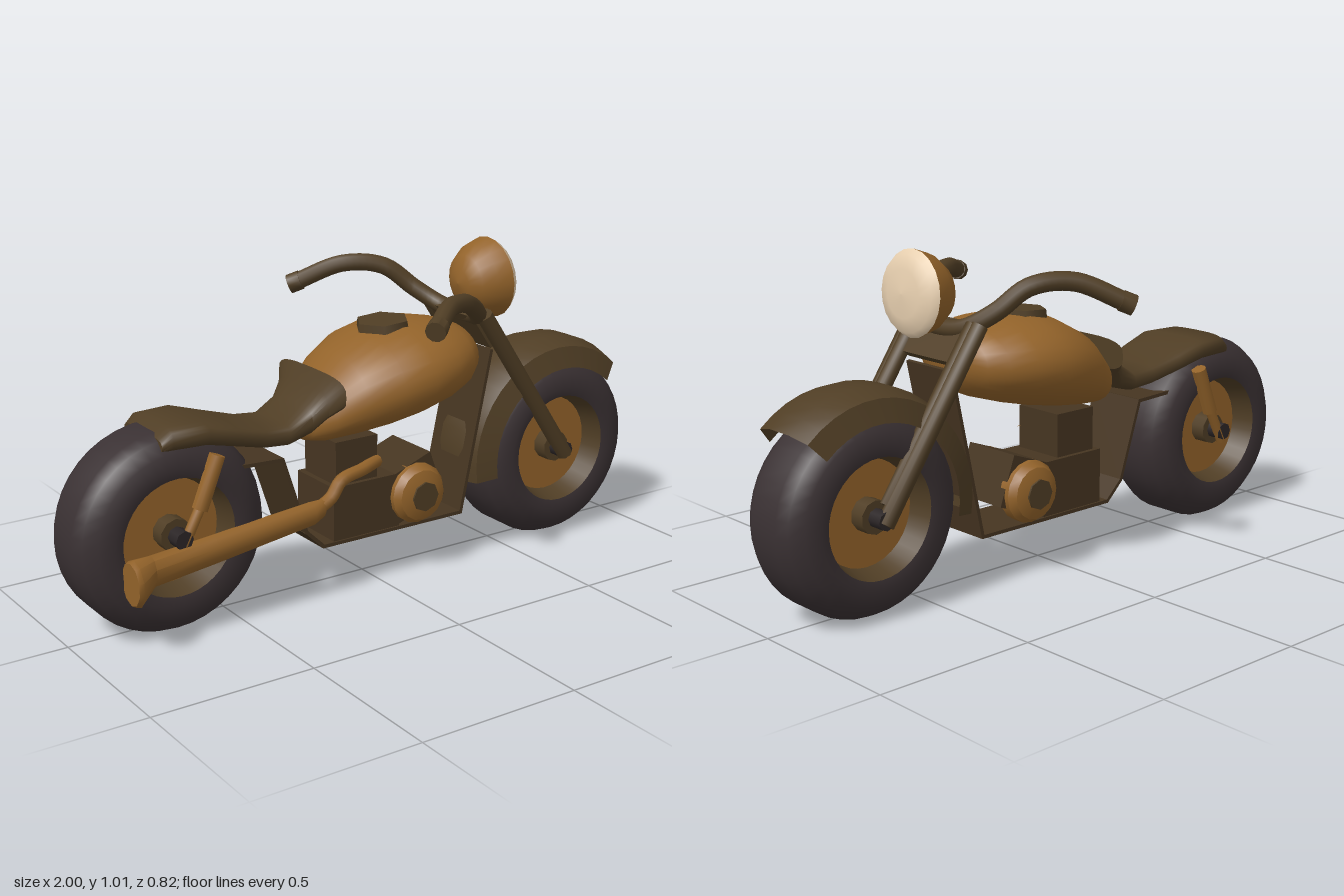
import * as THREE from 'three';
import { toCreasedNormals } from 'three/addons/utils/BufferGeometryUtils.js';

const mat = (name, color, side = THREE.FrontSide) => {
  const m = new THREE.MeshStandardMaterial({ color, side });
  m.name = name;
  return m;
};

export function createModel() {
  const bronze = mat('bronze', 0x93632a);
  const brown = mat('dark brown', 0x503e25, THREE.DoubleSide);
  const engineBrown = mat('engine brown', 0x463521);
  const rubber = mat('rubber', 0x3a3133);
  const black = mat('hub black', 0x2b2526);
  const cream = mat('lens cream', 0xe8d0b0);

  const model = new THREE.Group();
  model.name = 'motorcycle';
  const V = (x, y, z) => new THREE.Vector3(x, y, z);
  const add = (name, geo, material, pos = [0, 0, 0], parent = model) => {
    const m = new THREE.Mesh(geo, material);
    m.name = name;
    m.position.set(...pos);
    parent.add(m);
    return m;
  };
  // Tapered rod between two points
  const rod = (name, a, b, ra, rb, sides, material) => {
    const d = b.clone().sub(a);
    const geo = toCreasedNormals(new THREE.CylinderGeometry(rb, ra, d.length(), sides), 0.85);
    const m = add(name, geo, material, a.clone().add(b).multiplyScalar(0.5).toArray());
    m.quaternion.setFromUnitVectors(V(0, 1, 0), d.normalize());
    return m;
  };
  // Closed loft along x; each section is [x, bottom, top, halfWidth, zCentre]
  const loft = (sections, n = 24, power = 1) => {
    const pos = [], idx = [];
    const bend = (v) => Math.sign(v) * Math.abs(v) ** power;
    for (const [x, lo, hi, w, zc = 0] of sections)
      for (let j = 0; j < n; j++) {
        const a = (j / n) * Math.PI * 2;
        pos.push(x, (lo + hi) / 2 + ((hi - lo) / 2) * bend(Math.cos(a)), zc + w * bend(Math.sin(a)));
      }
    const last = sections.length - 1;
    for (let i = 0; i < last; i++)
      for (let j = 0; j < n; j++) {
        const k = (j + 1) % n, a = i * n, b = a + n;
        idx.push(a + j, a + k, b + j, a + k, b + k, b + j);
      }
    for (const i of [0, last]) {
      const [x, lo, hi, , zc = 0] = sections[i];
      const c = pos.length / 3;
      pos.push(x, (lo + hi) / 2, zc);
      for (let j = 0; j < n; j++) {
        const p = i * n + j, q = i * n + ((j + 1) % n);
        if (i === 0) idx.push(c, q, p); else idx.push(c, p, q);
      }
    }
    const g = new THREE.BufferGeometry();
    g.setAttribute('position', new THREE.Float32BufferAttribute(pos, 3));
    g.setIndex(idx);
    return toCreasedNormals(g, 0.8);
  };
  const lathe = (pts, segs, start = 0, length = Math.PI * 2) =>
    new THREE.LatheGeometry(pts.map((p) => new THREE.Vector2(...p)), segs, start, length);

  // Wheels: tyre, dished rim and hub
  for (const s of [-1, 1]) {
    const wheel = new THREE.Group();
    wheel.name = s > 0 ? 'frontWheel' : 'rearWheel';
    wheel.position.set(0.698 * s, 0.303, 0);
    model.add(wheel);
    const half = [[0.302, 0.055], [0.285, 0.09], [0.25, 0.121], [0.205, 0.13], [0.176, 0.123]];
    const profile = [...half.map(([r, z]) => [r, -z]).reverse(), ...half];
    add('tyre', lathe(profile, 40).rotateX(Math.PI / 2), rubber, [0, 0, 0], wheel);
    add('rimDisc', new THREE.CylinderGeometry(0.16, 0.16, 0.1, 32).rotateX(Math.PI / 2), bronze, [0, 0, 0], wheel);
    for (const side of [0, Math.PI]) {
      const wall = lathe([[0.177, 0.123], [0.157, 0.048]], 32).rotateX(Math.PI / 2).rotateY(side);
      add('rimWall', wall, brown, [0, 0, 0], wheel);
    }
    add('hub', new THREE.CylinderGeometry(0.05, 0.05, 0.2, 10).rotateX(Math.PI / 2), brown, [0, 0, 0], wheel);
    add('axle', new THREE.CylinderGeometry(0.028, 0.028, 0.3, 8).rotateX(Math.PI / 2), black, [0, 0, 0], wheel);
  }

  // Front fender: ridged arc around the front wheel
  const deg = Math.PI / 180;
  const fenderSide = [[0.36, 0.045], [0.338, 0.112], [0.272, 0.134]];
  const fenderProfile = [...fenderSide.map(([r, z]) => [r, -z]).reverse(), ...fenderSide];
  const fender = lathe(fenderProfile, 16, 138 * deg, 142 * deg).rotateX(Math.PI / 2);
  add('frontFender', toCreasedNormals(fender, 0.5), brown, [0.698, 0.303, 0]);

  // Fuel tank and hexagonal filler cap
  add('fuelTank', loft([
    [-0.245, 0.5, 0.55, 0.04], [-0.225, 0.475, 0.59, 0.09], [-0.18, 0.468, 0.645, 0.14],
    [-0.1, 0.475, 0.72, 0.19], [0, 0.49, 0.77, 0.233], [0.1, 0.51, 0.79, 0.25],
    [0.2, 0.535, 0.79, 0.235], [0.28, 0.56, 0.775, 0.195], [0.33, 0.59, 0.757, 0.15],
    [0.355, 0.625, 0.74, 0.1], [0.368, 0.665, 0.71, 0.04],
  ], 28, 0.95), bronze);
  const cap = add('fillerCap', new THREE.CylinderGeometry(0.083, 0.087, 0.025, 6).rotateY(Math.PI / 6), brown, [0.075, 0.786, 0]);
  cap.rotation.z = 0.06;

  // Saddle with rear fender tail and a flared front
  add('seat', loft([
    [-0.74, 0.55, 0.595, 0.115], [-0.71, 0.55, 0.622, 0.128], [-0.6, 0.55, 0.622, 0.14],
    [-0.5, 0.525, 0.592, 0.13], [-0.4, 0.497, 0.565, 0.11], [-0.32, 0.49, 0.558, 0.107],
    [-0.25, 0.51, 0.6, 0.115], [-0.21, 0.55, 0.645, 0.14], [-0.18, 0.585, 0.688, 0.185],
  ], 24, 0.6), brown);

  // Thin frame strip looping under the engine
  const frame = [[-0.52, 0.465], [-0.345, 0.458], [-0.265, 0.215], [-0.205, 0.157], [0.31, 0.157], [0.42, 0.67]];
  for (let i = 0; i < frame.length - 1; i++) {
    const [x0, y0] = frame[i], [x1, y1] = frame[i + 1];
    const strip = add('frameStrip', new THREE.BoxGeometry(Math.hypot(x1 - x0, y1 - y0) + 0.006, 0.011, 0.2),
      engineBrown, [(x0 + x1) / 2, (y0 + y1) / 2, 0]);
    strip.rotation.z = Math.atan2(y1 - y0, x1 - x0);
  }

  // Engine blocks and round side covers
  add('crankcase', new THREE.BoxGeometry(0.24, 0.17, 0.2), engineBrown, [-0.05, 0.25, 0]);
  add('rearCylinder', new THREE.BoxGeometry(0.15, 0.15, 0.17), engineBrown, [-0.077, 0.395, 0]);
  const front = add('frontCylinder', new THREE.BoxGeometry(0.19, 0.16, 0.2), engineBrown, [0.125, 0.275, 0]);
  front.rotation.z = 0.35;
  for (const s of [0, Math.PI]) {
    const cover = lathe([[0.095, 0.08], [0.095, 0.115], [0.08, 0.138], [0.05, 0.15], [0, 0.15]], 16).rotateX(Math.PI / 2);
    add('engineCover', toCreasedNormals(cover.rotateY(s), 0.4), bronze, [0.132, 0.262, 0]);
  }
  add('coverCap', new THREE.CylinderGeometry(0.047, 0.047, 0.312, 8).rotateX(Math.PI / 2), brown, [0.132, 0.262, 0]);

  // Exhaust header, muffler and flared tip on the +z side
  const header = new THREE.CatmullRomCurve3([V(0, 0.385, 0.08), V(-0.07, 0.38, 0.11), V(-0.16, 0.365, 0.125),
    V(-0.2, 0.32, 0.13), V(-0.27, 0.29, 0.135)]);
  add('exhaustHeader', new THREE.TubeGeometry(header, 20, 0.02, 8), bronze);
  add('muffler', loft([
    [-0.88, 0.16, 0.285, 0.055, 0.172], [-0.865, 0.15, 0.29, 0.06, 0.168], [-0.8, 0.185, 0.28, 0.036, 0.14],
    [-0.6, 0.207, 0.295, 0.034, 0.135], [-0.27, 0.252, 0.325, 0.03, 0.135], [-0.23, 0.27, 0.325, 0.02, 0.133],
  ], 10), bronze);

  // Mirrored fork legs and rear shocks
  for (const s of [-1, 1]) {
    rod('forkLeg', V(0.7, 0.29, 0.142 * s), V(0.355, 0.8, 0.142 * s), 0.026, 0.026, 8, brown);
    rod('forkTube', V(0.675, 0.335, 0.125 * s), V(0.36, 0.8, 0.125 * s), 0.025, 0.025, 8, brown);
    rod('shockBody', V(-0.64, 0.38, 0.135 * s), V(-0.58, 0.53, 0.135 * s), 0.024, 0.024, 10, bronze);
    rod('shockRod', V(-0.7, 0.27, 0.135 * s), V(-0.635, 0.395, 0.135 * s), 0.016, 0.016, 8, bronze);
  }
  const yoke = add('forkYoke', new THREE.BoxGeometry(0.035, 0.13, 0.22), brown, [0.385, 0.745, 0]);
  yoke.rotation.z = 0.6;

  // Handlebar, with the -z side raised slightly higher
  const bar = new THREE.CatmullRomCurve3([
    V(0, 0.857, 0.375), V(0.11, 0.888, 0.29), V(0.21, 0.875, 0.235), V(0.31, 0.82, 0.16), V(0.365, 0.785, 0.08),
    V(0.365, 0.785, -0.08), V(0.31, 0.835, -0.16), V(0.23, 0.905, -0.215), V(0.12, 0.915, -0.28), V(0, 0.852, -0.375),
  ]);
  add('handlebar', new THREE.TubeGeometry(bar, 60, 0.028, 10), brown);
  for (const t of [0, 1]) {
    const p = bar.getPointAt(t), d = bar.getTangentAt(t).multiplyScalar(t ? 0.02 : -0.02);
    rod('gripEnd', p.clone().sub(d), p.clone().add(d), 0.031, 0.031, 10, brown);
  }

  // Headlight bowl and lens, facing slightly upward
  const lamp = new THREE.Group();
  lamp.name = 'headlight';
  lamp.position.set(0.465, 0.884, 0.02);
  lamp.rotation.z = 0.06;
  model.add(lamp);
  const bowl = [[0, -0.122], [0.045, -0.115], [0.085, -0.09], [0.113, -0.05], [0.127, 0]];
  add('headlightShell', lathe(bowl, 20).rotateZ(-Math.PI / 2), bronze, [0, 0, 0], lamp);
  const lens = [[0.127, 0], [0.112, 0.02], [0.07, 0.033], [0, 0.038]];
  add('headlightLens', lathe(lens, 20).rotateZ(-Math.PI / 2), cream, [0, 0, 0], lamp);
  rod('headlightMount', V(0.36, 0.77, 0), V(0.42, 0.84, 0.01), 0.025, 0.025, 8, brown);

  return model;
}
